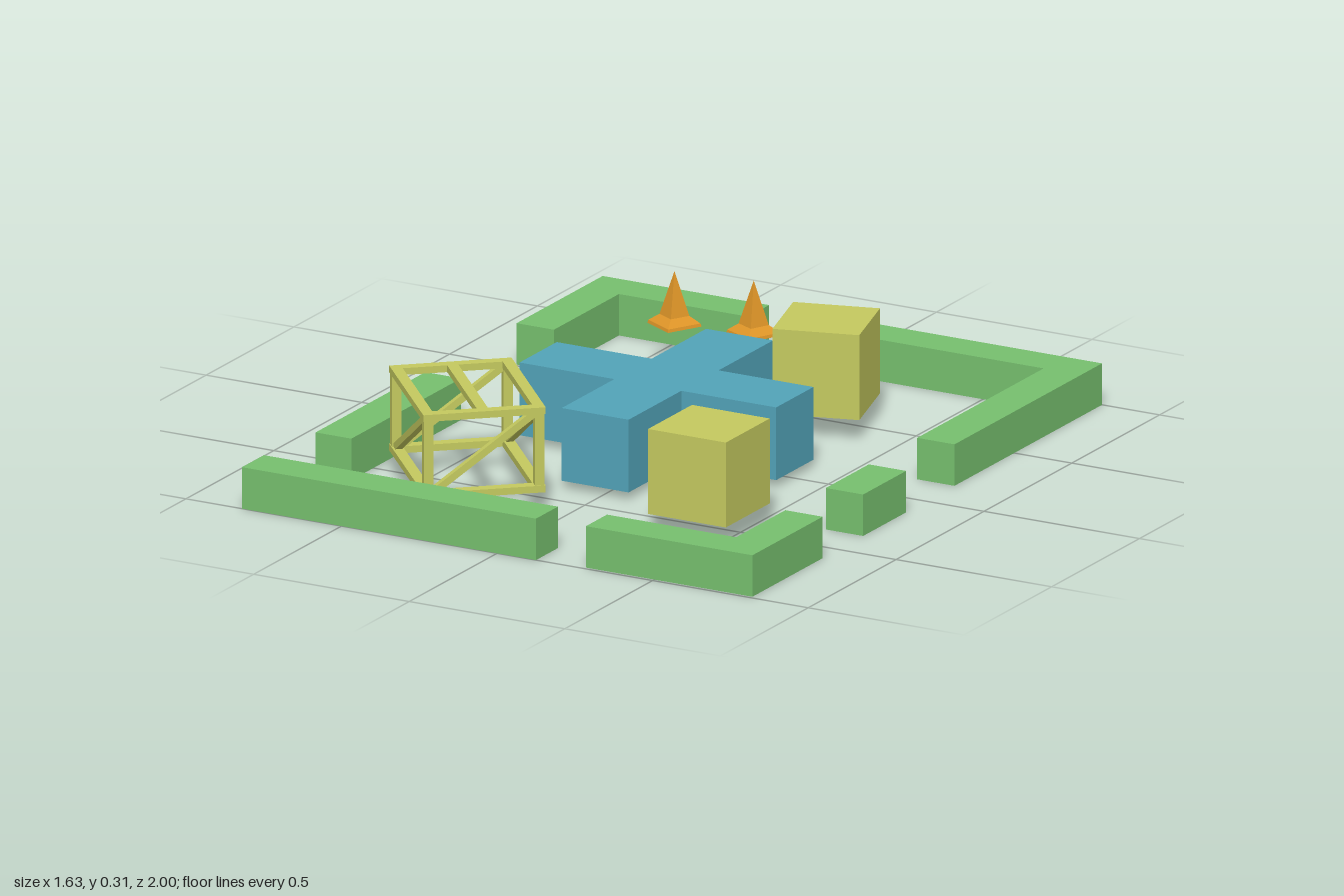
import * as THREE from 'three';

const material = (name, color) => {
  const m = new THREE.MeshStandardMaterial({ color, side: THREE.DoubleSide, flatShading: true });
  m.name = name;
  return m;
};

// Upright prism from an [x, z] outline, open underneath
function openPrism(outline, y0, y1) {
  const shape = new THREE.Shape(outline.map(([x, z]) => new THREE.Vector2(x, -z)));
  const solid = new THREE.ExtrudeGeometry(shape, { depth: y1 - y0, bevelEnabled: false });
  solid.rotateX(-Math.PI / 2).translate(0, y0, 0);
  const p = solid.attributes.position, n = solid.attributes.normal;
  const kept = [];
  for (let i = 0; i < p.count; i += 3) {
    if (n.getY(i) < -0.5) continue;
    for (let k = i; k < i + 3; k++) kept.push(p.getX(k), p.getY(k), p.getZ(k));
  }
  const geo = new THREE.BufferGeometry();
  geo.setAttribute('position', new THREE.Float32BufferAttribute(kept, 3));
  geo.computeVertexNormals();
  return geo;
}

const rect = (x0, x1, z0, z1) => [[x0, z0], [x1, z0], [x1, z1], [x0, z1]];

export function createModel() {
  const model = new THREE.Group();
  model.name = 'arena';
  const green = material('wallGreen', 0x76bf6e);
  const blue = material('platformBlue', 0x52a3b8);
  const yellow = material('crateYellow', 0xc4c95f);
  const orange = material('coneOrange', 0xde9528);

  const add = (parent, name, geo, mat) => {
    const mesh = new THREE.Mesh(geo, mat);
    mesh.name = name;
    parent.add(mesh);
    return mesh;
  };

  // Boundary walls
  const walls = {
    backLeftSideCorner: [[-0.79, -1], [-0.255, -1], [-0.255, -0.88], [-0.67, -0.88], [-0.67, -0.51], [-0.79, -0.51]],
    backRightSideCorner: [[-0.06, -1], [0.815, -1], [0.815, -0.16], [0.695, -0.16], [0.695, -0.88], [-0.06, -0.88]],
    frontCorner: [[0.28, 0.87], [0.695, 0.87], [0.695, 0.59], [0.815, 0.59], [0.815, 0.99], [0.28, 0.99]],
    sideWall: rect(-0.795, -0.68, 0, 0.625),
    shortWall: rect(0.695, 0.815, 0.115, 0.36),
    frontWall: rect(-0.82, 0.125, 0.875, 1),
  };
  for (const [name, outline] of Object.entries(walls)) add(model, name, openPrism(outline, 0, 0.122), green);

  // Central cross platform
  const cross = [
    [-0.13, -0.42], [0.085, -0.42], [0.085, -0.11], [0.39, -0.11], [0.39, 0.102], [0.085, 0.102],
    [0.085, 0.402], [-0.13, 0.402], [-0.13, 0.102], [-0.435, 0.102], [-0.435, -0.11], [-0.13, -0.11],
  ];
  add(model, 'crossPlatform', openPrism(cross, 0.023, 0.237), blue);

  // Crates
  for (const [name, x, z, turn] of [['frontCrate', 0.416, 0.531, 0], ['backCrate', 0.235, -0.457, 0.28]]) {
    const crate = add(model, name, openPrism(rect(-0.125, 0.125, -0.125, 0.125), 0.065, 0.315), yellow);
    crate.position.set(x, 0, z);
    crate.rotation.y = turn;
  }

  // Open frame of rails, posts and diagonal braces
  const frame = new THREE.Group();
  frame.name = 'openFrame';
  frame.position.set(-0.338, 0, 0.57);
  frame.rotation.y = -0.847;
  model.add(frame);
  const L = 0.46, W = 0.35, T = 0.032, low = 0.065, high = 0.315, rail = 0.02;
  const beam = (name, w, h, d, x, y, z) => {
    const b = add(frame, name, new THREE.BoxGeometry(w, h, d), yellow);
    b.position.set(x, y, z);
    return b;
  };
  const ex = (L - T) / 2, ez = (W - T) / 2, mid = (low + high) / 2;
  for (const s of [-1, 1]) {
    for (const y of [low + rail / 2, high - rail / 2]) {
      beam('longRail', L, rail, T, 0, y, s * ez);
      beam('shortRail', T, rail, W - 2 * T, s * ex, y, 0);
    }
    for (const t of [-1, 1]) beam('post', 0.027, high - low - 2 * rail, 0.027, s * ex, mid, t * ez);
    const rise = high - low - 2 * rail, runX = L - 2 * T, runZ = W - 2 * T;
    beam('longBrace', Math.hypot(runX, rise), 0.02, 0.02, 0, mid, s * ez).rotation.z = Math.atan2(rise, runX);
    beam('shortBrace', 0.02, 0.02, Math.hypot(runZ, rise), s * ex, mid, 0).rotation.x = Math.atan2(rise, runZ);
  }
  beam('middleRail', L - 2 * T, rail, T, 0, high - rail / 2, 0);

  // Four-sided cones with a flared foot
  const profile = [[0.078, 0.128], [0.075, 0.137], [0.043, 0.157], [0.0001, 0.285]];
  for (const [x, z, turn] of [[-0.39, -0.7, 0.28], [-0.155, -0.735, 0.33]]) {
    const cone = add(model, 'cone', new THREE.LatheGeometry(profile.map(([r, y]) => new THREE.Vector2(r, y)), 4), orange);
    cone.position.set(x, 0, z);
    cone.rotation.y = turn;
  }
  return model;
}
